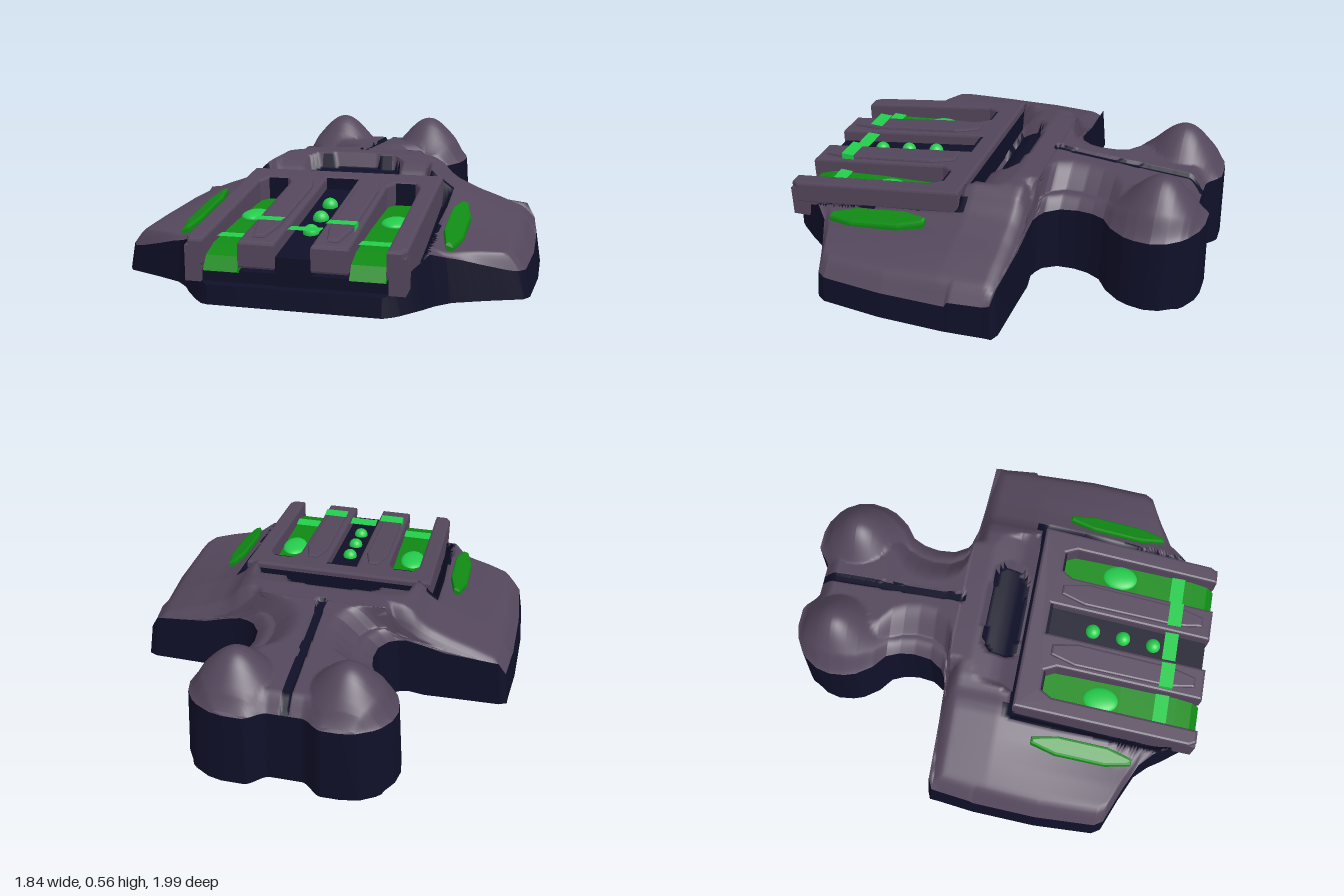
import * as THREE from 'three';

const mat = (name, color, side = THREE.FrontSide) => {
  const m = new THREE.MeshStandardMaterial({ color, side });
  m.name = name;
  return m;
};
const clamp = (v, a = 0, b = 1) => Math.min(b, Math.max(a, v));
const smooth = (v) => { const t = clamp(v); return t * t * (3 - 2 * t); };
const mix = (a, b, t) => a + (b - a) * t;
// Piecewise linear lookup in a short table of [position, value]
const lookup = (table, p) => {
  if (p <= table[0][0]) return table[0][1];
  for (let i = 1; i < table.length; i++) {
    const [p0, v0] = table[i - 1], [p1, v1] = table[i];
    if (p <= p1) return mix(v0, v1, (p - p0) / (p1 - p0));
  }
  return table[table.length - 1][1];
};

// Half width of the hull along z
const WIDTH = [[-0.985, 0.27], [-0.97, 0.33], [-0.93, 0.395], [-0.9, 0.425], [-0.84, 0.46], [-0.77, 0.475],
  [-0.7, 0.467], [-0.65, 0.45], [-0.58, 0.4], [-0.53, 0.335], [-0.47, 0.308], [-0.4, 0.298], [-0.32, 0.307],
  [-0.26, 0.345], [-0.24, 0.38], [-0.228, 0.42], [-0.222, 0.6], [-0.216, 0.85], [-0.2, 0.888], [0, 0.91],
  [0.3, 0.92], [0.58, 0.905], [0.62, 0.88], [0.68, 0.73], [0.74, 0.6], [0.8, 0.54], [0.86, 0.5], [0.95, 0.43], [0.99, 0.39]];
// Height of the side wall along z
const EDGE = [[-0.99, 0.36], [-0.228, 0.3], [-0.222, 0.25], [-0.2, 0.16], [-0.1, 0.13], [0, 0.12], [0.55, 0.115],
  [0.63, 0.12], [0.72, 0.18], [0.8, 0.215], [0.88, 0.17], [0.93, 0.1], [0.99, 0.08]];
// Cross-section of the wings and lengthwise profile of the spine
const WING = [[0.3, 0.46], [0.37, 0.45], [0.42, 0.42], [0.46, 0.375], [0.5, 0.345], [0.6, 0.3], [0.7, 0.265],
  [0.8, 0.225], [0.87, 0.19], [0.92, 0.155]];
const SPINE = [[-0.98, 0.38], [-0.85, 0.43], [-0.6, 0.44], [-0.3, 0.455], [-0.2, 0.465], [-0.15, 0.478], [-0.1, 0.455],
  [-0.02, 0.43], [0.03, 0.4], [0.07, 0.33], [0.1, 0.27]];

const backEdge = (x) => -0.985 + 0.065 * smooth((0.17 - Math.abs(x)) / 0.1);
const inPit = (x, z) => (x / 0.225) ** 4 + ((z + 0.005) / 0.085) ** 4 < 1;

function hullHeight(x, z, w) {
  const ax = Math.abs(x);
  let edge = lookup(EDGE, z);
  if (z > -0.228 && z < 0) edge = Math.max(edge, mix(0.3, 0.14, clamp((ax - 0.42) / 0.48)));
  let h;
  if (z < -0.22) {
    const neck = mix(edge, lookup(SPINE, z), smooth((w - ax) / 0.22));
    const d = Math.hypot(ax - 0.24, z + 0.77) / 0.27;
    const lobe = 0.36 + 0.197 * (0.5 + 0.5 * Math.cos(Math.PI * Math.min(1, d)));
    h = Math.max(neck, lobe);
  } else {
    const drop = Math.max(0, z - 0.05) * 0.16 * clamp((0.92 - ax) / 0.35);
    h = Math.min(lookup(WING, ax), mix(lookup(SPINE, z), 1, clamp((ax - 0.37) / 0.12))) - drop;
    if (z > 0.1) h = mix(0.26 - 0.2 * (z - 0.1), h, smooth((ax - 0.465) / 0.04));
    if (inPit(x, z)) h -= 0.06;
  }
  if (ax < 0.02 && z < -0.2) h -= 0.015;
  // Round the surface over towards the wall
  let dist = Math.min(w - ax, z - backEdge(x));
  if (z > -0.23) dist = Math.min(dist, Math.max(z + 0.225, 0.36 - ax));
  return mix(edge, Math.max(h, 0.07), Math.sin(clamp(dist / 0.07) * Math.PI / 2));
}

const isDark = (x, z) => {
  const ax = Math.abs(x);
  return (ax < 0.02 && z < -0.2) || inPit(x, z) || (ax < 0.51 && z > 0.07 && z < 0.84 && ax > 0.44) || (ax < 0.47 && z > 0.1);
};

function buildHull(shellMat, darkMat) {
  const hull = new THREE.Group();
  hull.name = 'hull';
  const rows = WIDTH.map((r) => r[0]);
  for (let i = 1; i < 130; i++) rows.push(mix(-0.985, 0.99, i / 130));
  rows.sort((a, b) => a - b);
  const cols = 120, pos = [], light = [], dark = [];
  rows.forEach((rz) => {
    const w = lookup(WIDTH, rz) - 0.022;
    for (let j = 0; j <= cols; j++) {
      const x = (j / cols * 2 - 1) * w, z = Math.max(rz, backEdge(x));
      pos.push(x, hullHeight(x, z, w), z + (rz < -0.8 ? 0.015 * (-0.8 - rz) / 0.185 : 0));
    }
  });
  const at = (i, j) => i * (cols + 1) + j;
  for (let i = 0; i < rows.length - 1; i++) {
    for (let j = 0; j < cols; j++) {
      const a = at(i, j), b = at(i + 1, j), c = at(i + 1, j + 1), d = at(i, j + 1);
      const cx = (pos[a * 3] + pos[c * 3]) / 2, cz = (pos[a * 3 + 2] + pos[c * 3 + 2]) / 2;
      (isDark(cx, cz) ? dark : light).push(a, b, c, a, c, d);
    }
  }
  const top = new THREE.BufferGeometry();
  top.setAttribute('position', new THREE.Float32BufferAttribute(pos, 3));
  top.setIndex([...light, ...dark]);
  top.addGroup(0, light.length, 0);
  top.addGroup(light.length, dark.length, 1);
  top.computeVertexNormals();
  const topMesh = new THREE.Mesh(top, [shellMat, darkMat]);
  topMesh.name = 'hullTop';

  // Flared wall and flat underside, following the rim of the top
  const n = rows.length - 1, rim = [];
  for (let j = 0; j < cols; j++) rim.push([at(0, j), 0, -0.015]);
  for (let i = 0; i < n; i++) rim.push([at(i, cols), 0.022, 0]);
  for (let j = cols; j > 0; j--) rim.push([at(n, j), 0, 0.01]);
  for (let i = n; i > 0; i--) rim.push([at(i, 0), -0.022, 0]);
  const wallPos = [], wallIdx = [], foot = [];
  rim.forEach(([v, dx, dz], k) => {
    const x = pos[v * 3], y = pos[v * 3 + 1], z = pos[v * 3 + 2];
    const wingBack = Math.abs(x) > 0.4 && z > -0.24 && z < -0.19 ? -0.015 : 0;
    const bz = z + dz + wingBack - (z < -0.9 && dx ? 0.015 : 0);
    wallPos.push(x, y, z, x + dx, 0, bz);
    foot.push(new THREE.Vector2(x + dx, -bz));
    const a = k * 2, b = ((k + 1) % rim.length) * 2;
    wallIdx.push(a, b, a + 1, b, b + 1, a + 1);
  });
  const wall = new THREE.BufferGeometry();
  wall.setAttribute('position', new THREE.Float32BufferAttribute(wallPos, 3));
  wall.setIndex(wallIdx);
  wall.computeVertexNormals();
  const wallMesh = new THREE.Mesh(wall, darkMat);
  wallMesh.name = 'hullWall';
  const under = new THREE.Mesh(new THREE.ShapeGeometry(new THREE.Shape(foot)).rotateX(-Math.PI / 2), darkMat);
  under.name = 'underside';
  hull.add(topMesh, wallMesh, under);
  return hull;
}

export function createModel() {
  const shell = mat('mauve shell', 0x54475c, THREE.DoubleSide);
  const dark = mat('dark navy', 0x0f0f28, THREE.DoubleSide);
  const green = mat('deep green', 0x108a14);
  const bright = mat('bright green', 0x24cc4c);
  const model = new THREE.Group();
  const add = (name, geo, material) => {
    const m = new THREE.Mesh(geo, material);
    m.name = name;
    model.add(m);
    return m;
  };
  const shape = (pts) => new THREE.Shape(pts.map((p) => new THREE.Vector2(...p)));
  // Slab with a plan outline [x, z] whose top follows a height rule
  const slab = (pts, depth, bevel, height) => {
    const g = new THREE.ExtrudeGeometry(shape(pts), { depth, bevelEnabled: bevel > 0, bevelThickness: bevel,
      bevelSize: bevel, bevelOffset: -bevel, bevelSegments: 2 }).rotateX(Math.PI / 2);
    const p = g.attributes.position;
    for (let i = 0; i < p.count; i++) p.setY(i, p.getY(i) - bevel + height(p.getX(i), p.getZ(i)));
    g.computeVertexNormals();
    return g;
  };
  // Bar with a side profile [z, y] reaching from x0 to x1
  const prism = (pts, x0, x1) => new THREE.ExtrudeGeometry(shape(pts), { depth: x1 - x0, bevelEnabled: false })
    .rotateY(-Math.PI / 2).translate(x1, 0, 0);
  const deck = (x, z) => 0.405 - (z - 0.11) * 0.155;

  model.add(buildHull(shell, dark));

  // Sloping front deck, open at the front in three slots
  const half = [[0.075, 0.2], [0.075, 0.985], [0.23, 0.985], [0.23, 0.28], [0.26, 0.225], [0.35, 0.225], [0.38, 0.28],
    [0.38, 0.985], [0.44, 0.985], [0.46, 0.95], [0.46, 0.11]];
  const mirrored = half.map(([x, z]) => [-x, z]).reverse();
  add('deckFrame', slab([...half, ...mirrored], 0.09, 0.012, deck), shell);
  add('deckCore', prism([[0.965, 0.09], [0.965, 0.14], [0.115, 0.28], [0.1, 0.38], [0.09, 0.25], [0.09, 0.09]], -0.45, 0.45), dark);
  add('centreSlot', prism([[0.975, 0.09], [0.975, 0.21], [0.21, 0.335], [0.21, 0.385], [0.19, 0.385], [0.19, 0.09]], -0.075, 0.075), dark);

  // Lamps in the centre slot
  [[0.42, 0.305], [0.57, 0.28], [0.72, 0.255]].forEach(([z, y]) =>
    add('lamp', new THREE.SphereGeometry(0.035, 20, 14).translate(0, y, z), bright));

  // Bright cross strip, open underneath and at the ends
  const strip = (x, y, width) => add('crossStrip', new THREE.PlaneGeometry(width, 0.065).rotateX(-Math.PI / 2).translate(x, y, 0.8), bright);
  strip(0, 0.29, 0.14);

  for (const s of [-1, 1]) {
    const side = s > 0 ? 'left' : 'right';
    const span = (a, b) => (s > 0 ? [a, b] : [-b, -a]);
    add(side + 'DeckSkirt', prism([[0.985, 0.09], [0.985, 0.24], [0.12, 0.37], [0.12, 0.27], [0.85, 0.1]], ...span(0.39, 0.458)), shell);
    // Tapered rib between the slots
    const rib = [[0.13, 0.24], [0.18, 0.24], [0.21, 0.36], [0.205, 0.82], [0.18, 0.94], [0.13, 0.94], [0.105, 0.82], [0.1, 0.36]];
    add(side + 'Rib', slab(rib.map(([x, z]) => [x * s, z]), 0.02, 0.01, (x, z) => deck(x, z) + 0.014), shell);
    // Green channel with a curved front lip and dark end wall
    add(side + 'Channel', prism([[0.22, 0.28], [0.6, 0.255], [0.87, 0.225], [0.95, 0.195], [0.99, 0.14], [0.96, 0.13], [0.22, 0.2]],
      ...span(0.232, 0.378)), green);
    add(side + 'ChannelEnd', new THREE.BoxGeometry(0.09, 0.11, 0.008).translate(s * 0.305, 0.325, 0.228), dark);
    add(side + 'ChannelLamp', new THREE.SphereGeometry(1, 24, 14).scale(0.062, 0.025, 0.085).translate(s * 0.318, 0.262, 0.51), bright);
    strip(s * 0.155, 0.326, 0.12);
    strip(s * 0.305, 0.245, 0.146);
    add('crossStripEnd', new THREE.PlaneGeometry(0.065, 0.03).rotateY(s * Math.PI / 2).translate(s * 0.215, 0.311, 0.8), bright);
    // Spindle-shaped wing insert
    const insert = [[0.565, 0.22], [0.595, 0.22], [0.622, 0.34], [0.622, 0.58], [0.595, 0.7], [0.565, 0.7], [0.538, 0.58], [0.538, 0.34]];
    add(side + 'WingInsert', slab(insert.map(([x, z]) => [x * s, z]), 0.03, 0.012,
      (x, z) => 0.315 - 0.16 * (z - 0.22) - (Math.abs(x) - 0.58) * 0.38), green);
  }
  return model;
}
